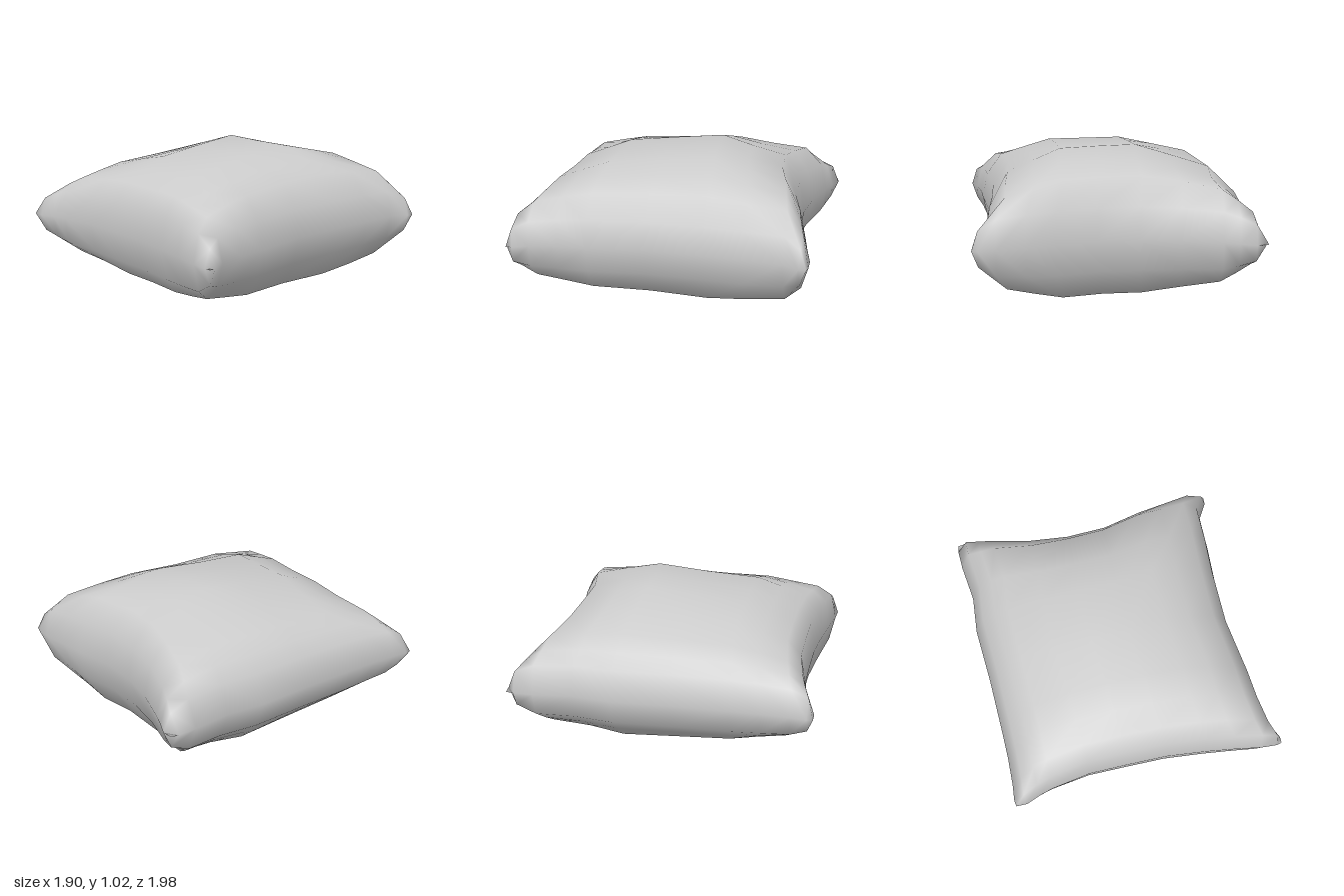
import * as THREE from 'three';
import { mergeVertices } from 'three/addons/utils/BufferGeometryUtils.js';

const MID = 0.51, HEIGHT = 0.508;

// Seam curve through [x, z] points
const seam = (pts) => new THREE.CatmullRomCurve3(
  pts.map(([x, z]) => new THREE.Vector3(x, 0, z)), false, 'centripetal');

// Corners of the cushion and its four slightly irregular seams
const BL = [-0.94, -0.985], BR = [0.9, -0.965], FL = [-0.895, 0.985], FR = [0.95, 0.96];
const back = seam([BL, [-0.89, -1], [-0.78, -0.96], [-0.46, -0.865], [-0.23, -0.83], [0.05, -0.825], [0.33, -0.89], [0.63, -0.945], [0.82, -0.98], BR]);
const front = seam([FL, [-0.84, 0.99], [-0.75, 0.955], [-0.46, 0.885], [-0.1, 0.875], [0.2, 0.88], [0.74, 0.95], [0.88, 0.975], FR]);
const left = seam([BL, [-0.95, -0.9], [-0.905, -0.47], [-0.935, -0.24], [-0.91, 0], [-0.9, 0.2], [-0.89, 0.82], [-0.905, 0.91], FL]);
const right = seam([BR, [0.895, -0.9], [0.825, -0.79], [0.83, -0.68], [0.815, -0.35], [0.795, -0.02], [0.83, 0.2], [0.87, 0.59], [0.89, 0.79], [0.945, 0.89], FR]);

// Sections across the cushion as [fraction of the width, relative height]
const ACROSS = [[0, 0], [0.04, 0.36], [0.15, 0.71], [0.43, 1], [0.72, 0.98], [0.92, 0.69], [0.98, 0.35], [1, 0]];
const ALONG = [[0, 0], [0.025, 0.41], [0.09, 0.77], [0.35, 1], [0.735, 0.87], [0.925, 0.62], [0.98, 0.4], [1, 0]];

// Halve the long spans so the seams keep their curve
function refine(section) {
  return section.flatMap((p, i) => {
    const q = section[i + 1];
    return q && q[0] - p[0] > 0.08 ? [p, [(p[0] + q[0]) / 2, (p[1] + q[1]) / 2]] : [p];
  });
}

// Surface point blended between the four seams, fuller towards the corners
function surfacePoint([s, f], [t, g], side) {
  const b = back.getPointAt(s), d = front.getPointAt(s);
  const l = left.getPointAt(t), r = right.getPointAt(t);
  const blend = (k, c) => (1 - t) * b[k] + t * d[k] + (1 - s) * l[k] + s * r[k]
    - (1 - s) * (1 - t) * BL[c] - s * (1 - t) * BR[c] - (1 - s) * t * FL[c] - s * t * FR[c];
  const lift = f * g * (1 + 1.5 * (1 - f) * (1 - g));
  return [blend('x', 0), MID + side * HEIGHT * lift, blend('z', 1)];
}

export function createModel() {
  const group = new THREE.Group();
  group.name = 'cushion';
  const fabric = new THREE.MeshStandardMaterial({ color: 0xcccccc });
  fabric.name = 'light grey fabric';

  // Upper and lower cloth panels
  const columns = refine(ACROSS), rows = refine(ALONG), n = columns.length;
  const positions = [], indices = [];
  for (const side of [1, -1]) {
    const start = positions.length / 3;
    for (const row of rows)
      for (const column of columns) positions.push(...surfacePoint(column, row, side));
    for (let j = 0; j < rows.length - 1; j++)
      for (let i = 0; i < n - 1; i++) {
        const a = start + j * n + i, b = a + n, c = a + 1, d = b + 1;
        if (side > 0) indices.push(a, b, c, c, b, d);
        else indices.push(a, c, b, c, d, b);
      }
  }
  let geometry = new THREE.BufferGeometry();
  geometry.setAttribute('position', new THREE.Float32BufferAttribute(positions, 3));
  geometry.setIndex(indices);

  // Join the panels along the seams for smooth shading
  geometry = mergeVertices(geometry, 1e-4);
  geometry.computeVertexNormals();
  const cover = new THREE.Mesh(geometry, fabric);
  cover.name = 'cushionCover';
  group.add(cover);
  return group;
}
